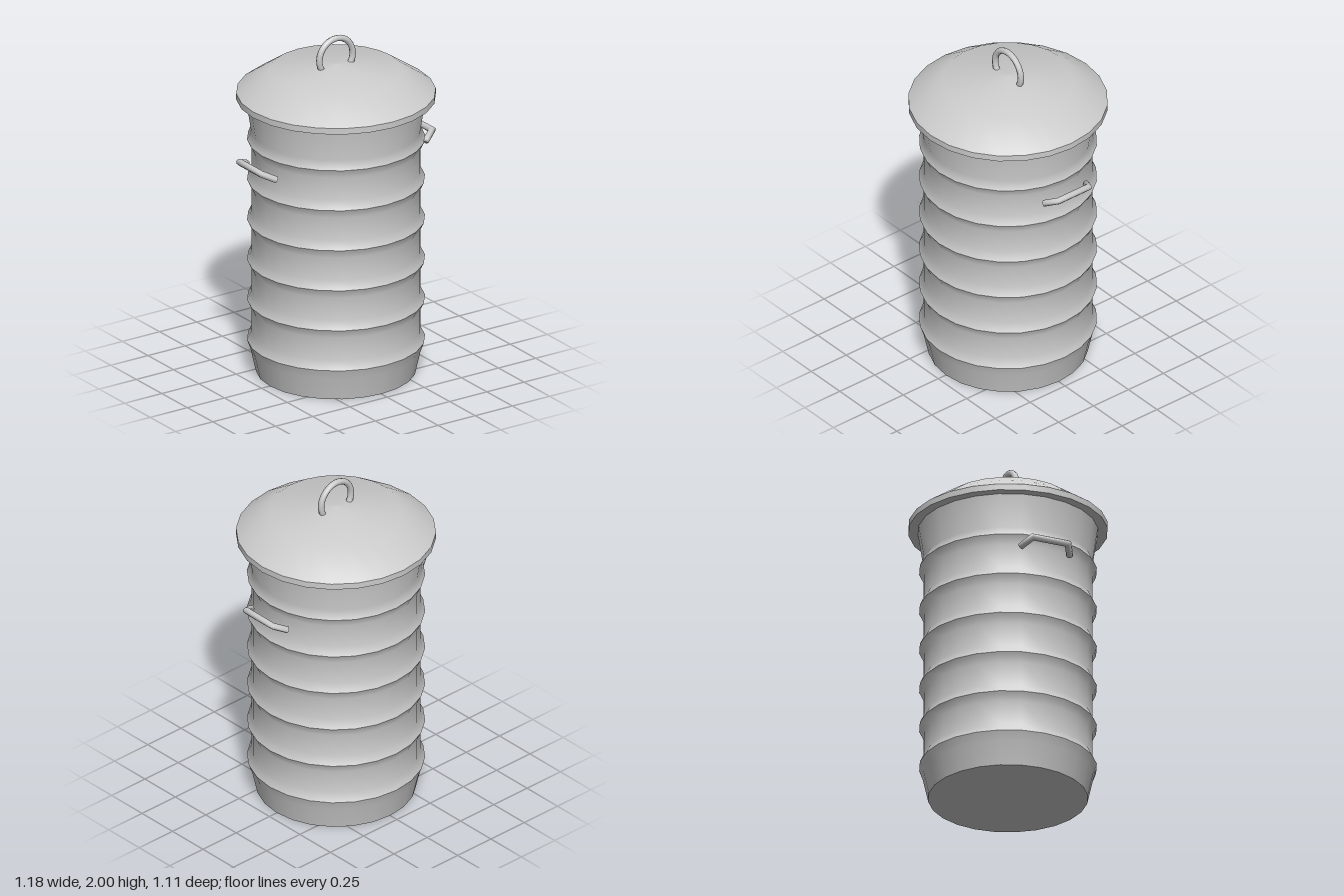
import * as THREE from 'three';

const SIDES = 24;
const metal = new THREE.MeshStandardMaterial({ color: 0xcccccc });
metal.name = 'grey metal';
const thinMetal = new THREE.MeshStandardMaterial({ color: 0xcccccc, side: THREE.DoubleSide });
thinMetal.name = 'grey sheet metal';

function add(group, name, geometry, material = metal) {
  const mesh = new THREE.Mesh(geometry, material);
  mesh.name = name;
  group.add(mesh);
  return mesh;
}

// Profile given as [radius, height], listed bottom to top
function lathe(points) {
  return new THREE.LatheGeometry(points.map(([r, y]) => new THREE.Vector2(r, y)), SIDES);
}

function disc(radius, y) {
  return new THREE.CircleGeometry(radius, SIDES).rotateX(Math.PI / 2).translate(0, y, 0);
}

// Capped rod with mitred corners along a path lying in one plane
function mitredRod(path, radius, planeNormal, sides = 8) {
  const positions = [], index = [];
  const last = path.length - 1;
  path.forEach((p, i) => {
    const before = path[Math.max(i - 1, 0)], after = path[Math.min(i + 1, last)];
    const dirIn = (i > 0 ? p.clone().sub(before) : after.clone().sub(p)).normalize();
    const dirOut = (i < last ? after.clone().sub(p) : dirIn.clone()).normalize();
    const tangent = dirIn.clone().add(dirOut).normalize();
    const across = planeNormal.clone().cross(tangent).multiplyScalar(radius / tangent.dot(dirIn));
    for (let s = 0; s < sides; s++) {
      const a = (s / sides) * Math.PI * 2;
      const v = p.clone().addScaledVector(across, Math.cos(a)).addScaledVector(planeNormal, -Math.sin(a) * radius);
      positions.push(v.x, v.y, v.z);
      if (i < last) {
        const q = i * sides + s, r = i * sides + (s + 1) % sides;
        index.push(q, q + sides, r, r, q + sides, r + sides);
      }
    }
  });
  // End caps
  for (let s = 1; s < sides - 1; s++) {
    const e = last * sides;
    index.push(0, s, s + 1, e, e + s + 1, e + s);
  }
  const geometry = new THREE.BufferGeometry();
  geometry.setAttribute('position', new THREE.Float32BufferAttribute(positions, 3));
  geometry.setIndex(index);
  geometry.computeVertexNormals();
  return geometry;
}

export function createModel() {
  const model = new THREE.Group();
  model.name = 'dustbin';

  // Ribbed body: one band per rib, split at the ridges so they stay sharp
  const body = new THREE.Group();
  body.name = 'body';
  model.add(body);
  const ridge = 0.495, waist = 0.47, first = 0.19, pitch = 0.24, ribs = 6;
  add(body, 'bottomBand', lathe([[0.445, 0], [0.475, 0.135], [ridge, first]]), thinMetal);
  for (let i = 0; i < ribs - 1; i++) {
    const y = first + i * pitch;
    add(body, 'ribBand', lathe([[ridge, y], [waist, y + 0.052], [waist, y + pitch - 0.052], [ridge, y + pitch]]), thinMetal);
  }
  const top = first + (ribs - 1) * pitch;
  add(body, 'topBand', lathe([[ridge, top], [0.472, top + 0.052], [0.502, 1.635]]), thinMetal);
  add(body, 'base', disc(0.445, 0));

  // Lid with an upright rim
  const lid = new THREE.Group();
  lid.name = 'lid';
  model.add(lid);
  add(lid, 'lidRim', lathe([[0.555, 1.632], [0.555, 1.668]]));
  add(lid, 'lidDome', lathe([[0.555, 1.668], [0.37, 1.795], [0, 1.832]]));
  add(lid, 'lidUnderside', disc(0.555, 1.632));

  // Ring handle on the lid, its ends sunk into the dome
  const arc = Math.PI * 1.4;
  const ring = add(lid, 'lidHandle', new THREE.TorusGeometry(0.112, 0.018, 8, 20, arc));
  ring.rotation.z = Math.PI / 2 - arc / 2;
  ring.position.y = 1.87;

  // Bent rod handles on both sides
  const normal = new THREE.Vector3(-0.035, 0.07, 0).normalize();
  const rod = mitredRod([
    new THREE.Vector3(0.5, 1.3, 0.15),
    new THREE.Vector3(0.573, 1.336, 0.107),
    new THREE.Vector3(0.573, 1.336, -0.107),
    new THREE.Vector3(0.5, 1.3, -0.15),
  ], 0.019, normal);
  add(model, 'leftHandle', rod);
  add(model, 'rightHandle', rod).rotation.y = Math.PI;

  return model;
}
